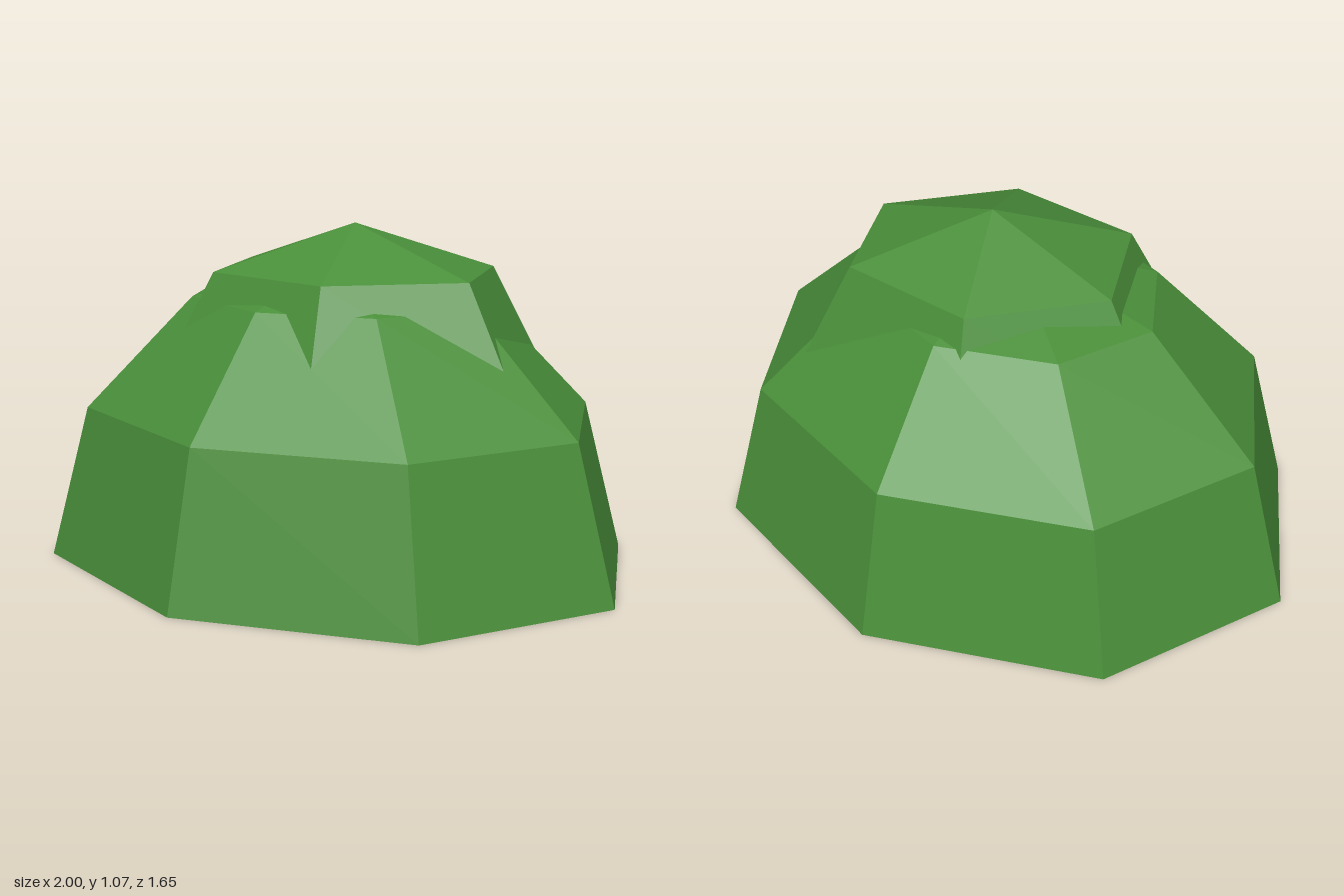
import * as THREE from 'three';

// Open faceted half-sphere of radius 1, standing on y = 0
function facetedDome(sides, rings) {
  return new THREE.SphereGeometry(1, sides, rings, 0, Math.PI * 2, 0, Math.PI / 2);
}

export function createModel() {
  const group = new THREE.Group();
  group.name = 'bush';

  const leafGreen = new THREE.MeshStandardMaterial({
    color: 0x4a8f3a, flatShading: true, side: THREE.DoubleSide,
  });
  leafGreen.name = 'leaf green';

  // Wide lower foliage
  const lower = new THREE.Mesh(facetedDome(8, 3).scale(1, 0.96, 0.825), leafGreen);
  lower.name = 'lowerFoliage';

  // Smaller six-sided crown, turned and squashed, sunk into the lower dome
  const crownShape = new THREE.Matrix4().makeBasis(
    new THREE.Vector3(0.629, 0, 0.057),
    new THREE.Vector3(0, 0.495, 0),
    new THREE.Vector3(-0.143, 0, 0.547),
  ).setPosition(0.065, 0.57, 0);
  const crown = new THREE.Mesh(facetedDome(6, 2).applyMatrix4(crownShape), leafGreen);
  crown.name = 'crownFoliage';

  group.add(lower, crown);
  return group;
}
